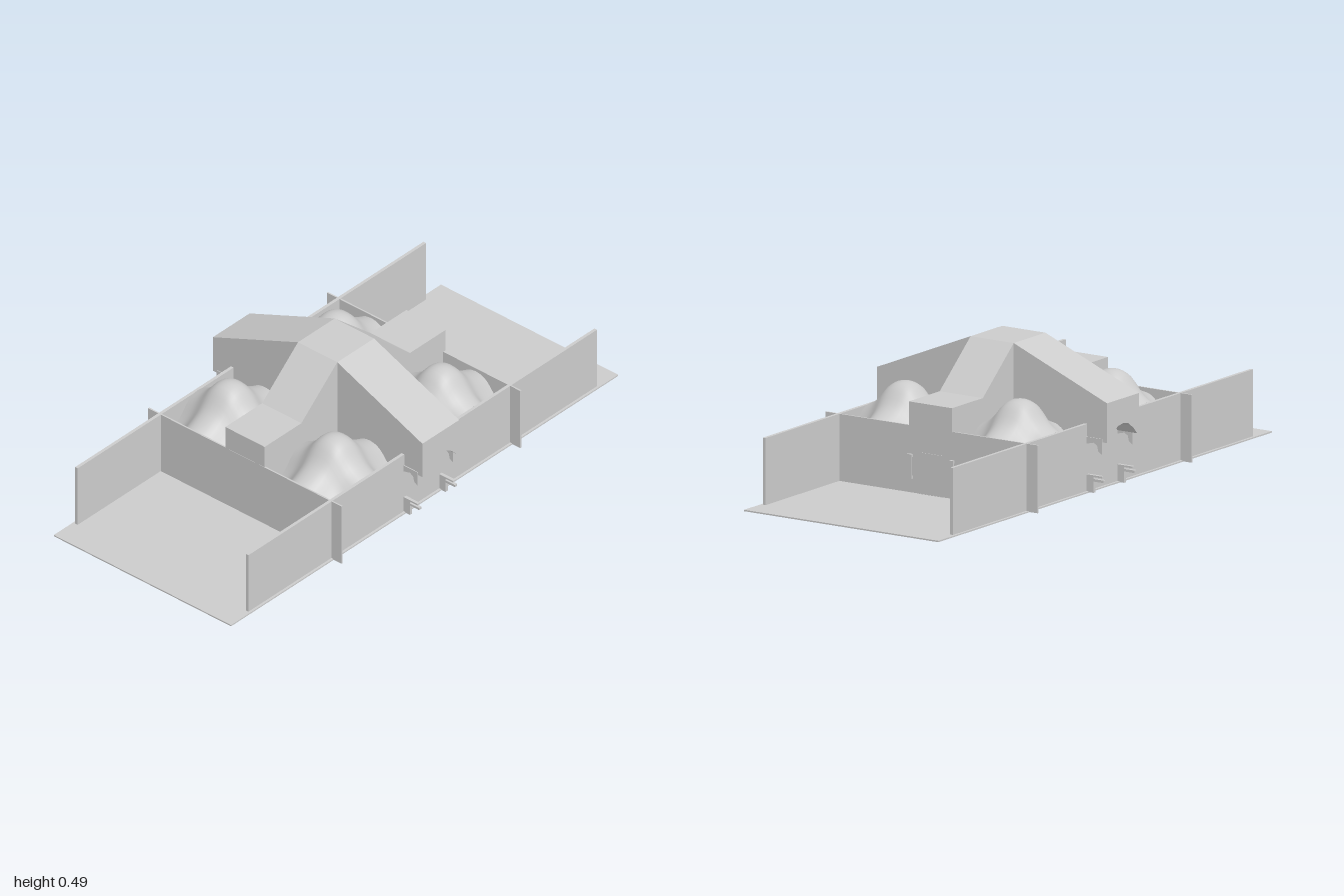
import * as THREE from 'three';

export function createModel() {
  const root = new THREE.Group();
  const mat = new THREE.MeshStandardMaterial({ color: 0xcccccc, flatShading: true, side: THREE.DoubleSide });
  const smooth = new THREE.MeshStandardMaterial({ color: 0xcccccc, side: THREE.DoubleSide });

  const add = (name, geo, m = mat) => {
    const mesh = new THREE.Mesh(geo, m);
    mesh.name = name;
    root.add(mesh);
    return mesh;
  };
  // Box given by its extents along each axis
  const block = (name, x0, x1, y0, y1, z0, z1) => {
    const g = new THREE.BoxGeometry(x1 - x0, y1 - y0, z1 - z0);
    g.translate((x0 + x1) / 2, (y0 + y1) / 2, (z0 + z1) / 2);
    return add(name, g);
  };
  const shapeOf = pts => new THREE.Shape(pts.map(p => new THREE.Vector2(...p)));
  const extrude = (pts, depth) => new THREE.ExtrudeGeometry(shapeOf(pts), { depth, bevelEnabled: false });

  const XL = -0.465, XR = 0.455, TOP = 0.245, BASE = 0.006;

  // Ground sheet and end walls
  block('groundSlab', -1, 1, 0.004, 0.009, -0.406, 0.406);
  block('endWallRight', XL - 0.006, XL, BASE, TOP, -0.443, 0.443);
  block('endWallLeft', XR - 0.003, XR + 0.003, BASE, TOP, -0.443, 0.443);

  // Long walls running past the building as courtyard walls
  for (const s of [-1, 1]) {
    const a = s * 0.385, b = s * 0.397;
    block('longWall', -0.9, 0.9, BASE, TOP, Math.min(a, b), Math.max(a, b));
  }

  // Draped roof mounds: the sum of two bell curves, low at the corners
  const bell = new THREE.CatmullRomCurve3([
    [0, 0], [0.025, 0.004], [0.05, 0.018], [0.075, 0.047], [0.1, 0.073], [0.145, 0.1], [0.185, 0.116]
  ].map(([a, b]) => new THREE.Vector3(a, b, 0))).getPoints(60);
  const drop = d => {
    const u = Math.abs(d);
    const i = Math.max(1, bell.findIndex(p => p.x >= u));
    const p = bell[i - 1], q = bell[i];
    return p.y + (q.y - p.y) * (u - p.x) / (q.x - p.x);
  };
  for (const sx of [-1, 1]) for (const sz of [-1, 1]) {
    const g = new THREE.PlaneGeometry(0.364, 0.292, 24, 24);
    g.rotateX(-Math.PI / 2);
    const p = g.attributes.position;
    for (let i = 0; i < p.count; i++) p.setY(i, 0.347 - drop(p.getX(i)) - drop(p.getZ(i)));
    g.computeVertexNormals();
    add('roofMound', g, smooth).position.set(sx * 0.276 - 0.003, 0, sz * 0.24);
  }

  // Main hall across the depth, with a flat ridge and two slopes
  const hallTop = z => 0.488 - Math.max(0, Math.abs(z) - 0.09) * 0.16 / 0.39;
  const hall = extrude([
    [-0.39, BASE], [0.39, BASE], [0.39, hallTop(0.39)], [0.09, 0.488], [-0.09, 0.488], [-0.39, hallTop(0.39)]
  ], 0.19);
  hall.rotateY(-Math.PI / 2).translate(0.095, 0, 0);
  add('mainHall', hall);

  // Arched porch hoods, their tops following the hall slope
  const arch = [
    [-0.095, 0.188], [-0.086, 0.188], [-0.055, 0.22], [-0.03, 0.235], [0, 0.24], [0.03, 0.235],
    [0.055, 0.22], [0.086, 0.188], [0.095, 0.188], [0.095, 0.4], [-0.095, 0.4]
  ];
  for (const s of [-1, 1]) {
    const g = extrude(arch, 0.09);
    g.translate(0, 0, s > 0 ? 0.39 : -0.48);
    const p = g.attributes.position;
    for (let i = 0; i < p.count; i++) if (p.getY(i) > 0.39) p.setY(i, hallTop(p.getZ(i)));
    add('porchHood', g);
  }

  // Cross wing: sloped shoulders, then flat roofs to the end walls
  const wing = extrude([
    [XL - 0.005, BASE], [XR + 0.002, BASE], [XR + 0.002, TOP], [XR + 0.01, TOP], [XR + 0.01, 0.33],
    [0.28, 0.33], [0.095, 0.488], [-0.095, 0.488], [-0.28, 0.33], [XL - 0.005, 0.33]
  ], 0.18);
  wing.translate(0, 0, -0.09);
  add('crossWing', wing);

  // Hood brackets and low rests beside each porch
  for (const sz of [-1, 1]) for (const sx of [-1, 1]) {
    const bracket = extrude([
      [0.395, 0.2], [0.46, 0.2], [0.46, 0.145], [0.445, 0.155], [0.44, 0.175], [0.425, 0.183], [0.395, 0.175]
    ], 0.012);
    bracket.rotateY(-Math.PI / 2);
    const m = add('hoodBracket', bracket);
    m.scale.z = sz;
    m.position.x = sx * 0.092 + 0.006;
    const z = (a, b) => sz > 0 ? [a, b] : [-b, -a];
    const x0 = sx * 0.092 - 0.006, x1 = x0 + 0.012;
    block('restPost', x0, x1, BASE, 0.062, ...z(0.395, 0.425));
    block('restShelf', x0, x1, 0.046, 0.055, ...z(0.395, 0.468));
    block('restTip', x0, x1, 0.062, 0.068, ...z(0.395, 0.46));
  }

  // End door with a handle on each side
  block('door', XR, XR + 0.005, 0.002, 0.155, -0.048, 0.048);
  block('doorSill', XR, XR + 0.006, 0, 0.01, -0.044, 0.05);
  for (const s of [-1, 1]) {
    const z = s * 0.087;
    block('handleBar', XR + 0.008, XR + 0.013, 0.058, 0.145, z - 0.009, z + 0.009);
    for (const y of [0.058, 0.135]) block('handleMount', XR, XR + 0.013, y, y + 0.01, z - 0.009, z + 0.009);
  }
  return root;
}
